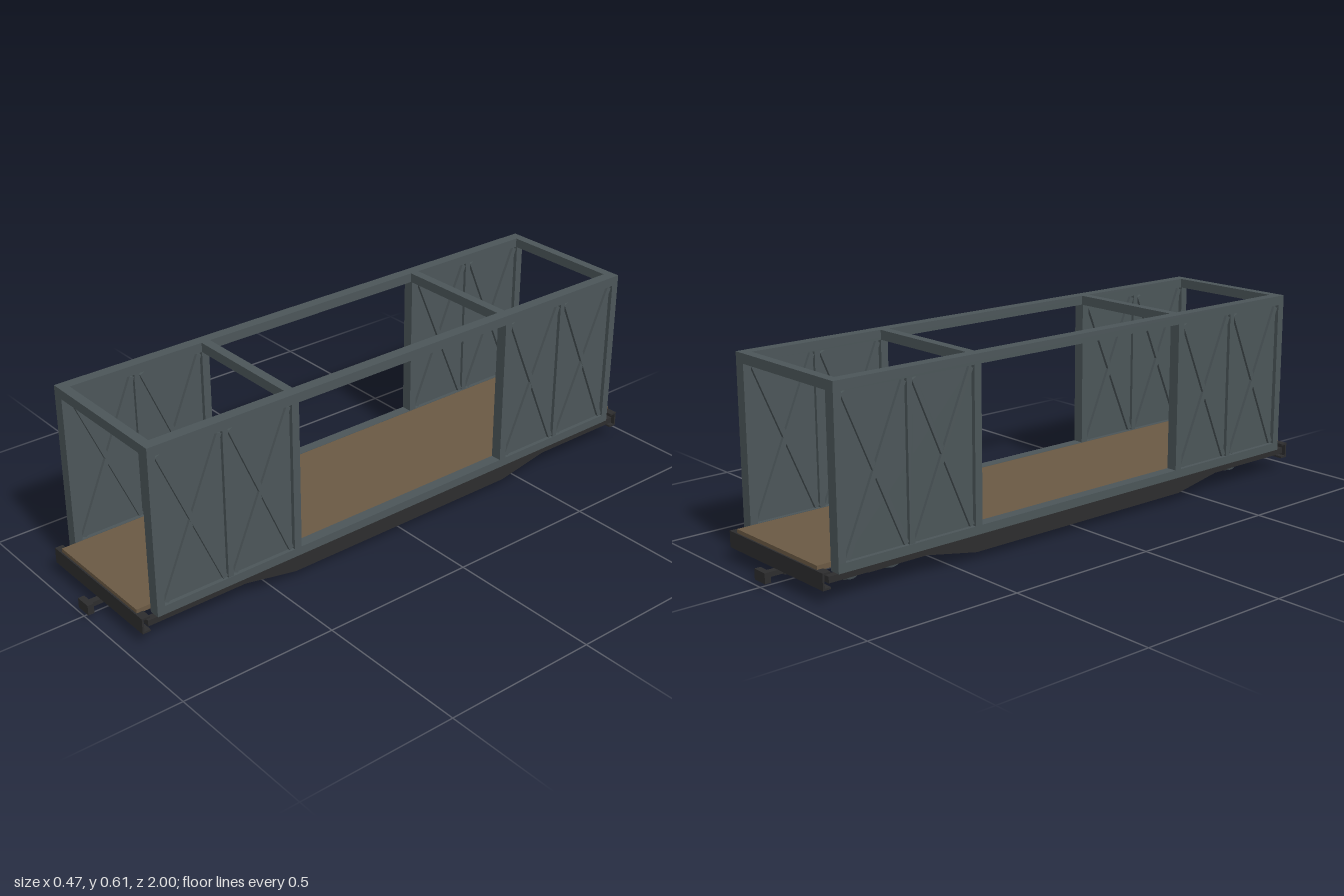
import * as THREE from 'three';
import { toCreasedNormals } from 'three/addons/utils/BufferGeometryUtils.js';

const mat = (name, color) => {
  const m = new THREE.MeshStandardMaterial({ color });
  m.name = name;
  return m;
};

export function createModel() {
  const steel = mat('wall grey', 0x4c5659);
  const iron = mat('underframe black', 0x2d2d2e);
  const wood = mat('deck brown', 0x6b5a44);
  const wheelSteel = mat('wheel grey', 0x3e474b);

  const root = new THREE.Group();
  root.name = 'openFreightWagon';
  const group = (name, parent = root) => {
    const g = new THREE.Group();
    g.name = name;
    parent.add(g);
    return g;
  };
  const add = (parent, name, geo, material) => {
    const m = new THREE.Mesh(geo, material);
    m.name = name;
    parent.add(m);
    return m;
  };
  // Box from two opposite corners, given in any order
  const box = (parent, name, material, x0, x1, y0, y1, z0, z1) => {
    const m = add(parent, name, new THREE.BoxGeometry(Math.abs(x1 - x0), Math.abs(y1 - y0), Math.abs(z1 - z0)), material);
    m.position.set((x0 + x1) / 2, (y0 + y1) / 2, (z0 + z1) / 2);
    return m;
  };
  // Side profile in (z, y), extruded across x about a centre
  const sideExtrude = (shape, cx, width) => {
    const g = new THREE.ExtrudeGeometry(shape, { depth: width, bevelEnabled: false, curveSegments: 6 });
    g.rotateY(-Math.PI / 2);
    g.translate(cx + width / 2, 0, 0);
    return g;
  };
  const shapeOf = (pts) => new THREE.Shape(pts.map(([a, b]) => new THREE.Vector2(a, b)));

  // Deck
  box(root, 'deck', wood, -0.2, 0.2, 0.09, 0.105, -0.945, 0.945);

  // Open body: rails, posts, braced panels
  const body = group('body');
  const bay = (parent, s, za, zb) => {
    const ya = 0.105, yb = 0.58, dz = zb - za, dy = yb - ya;
    const length = Math.hypot(dz, dy) - 0.018;
    for (const d of [-1, 1]) {
      const brace = box(parent, 'diagonalBrace', steel, s * 0.203, s * (0.232 + d * 0.0005), 0, length, -0.008, 0.008);
      brace.position.y = (ya + yb) / 2;
      brace.position.z = (za + zb) / 2;
      brace.rotation.x = d * Math.atan2(Math.abs(dz) - 0.012, dy);
    }
  };
  for (const s of [-1, 1]) {
    const side = group(s > 0 ? 'leftSide' : 'rightSide', body);
    box(side, 'topRail', steel, s * 0.2, s * 0.236, 0.58, 0.61, -0.9, 0.9);
    box(side, 'bottomRail', steel, s * 0.2, s * 0.236, 0.079, 0.106, -0.9, 0.9);
    for (const e of [-1, 1]) {
      box(side, 'endPost', steel, s * 0.2, s * 0.236, 0.106, 0.58, e * 0.875, e * 0.9);
      box(side, 'doorPost', steel, s * 0.2, s * 0.236, 0.106, 0.58, e * 0.4, e * 0.425);
      box(side, 'middlePost', steel, s * 0.203, s * 0.234, 0.106, 0.58, e * 0.641, e * 0.659);
      box(side, 'wallPanel', steel, s * 0.213, s * 0.223, 0.106, 0.58, e * 0.425, e * 0.875);
      bay(side, s, e * 0.425, e * 0.641);
      bay(side, s, e * 0.659, e * 0.875);
    }
  }
  for (const e of [-1, 1]) {
    box(body, 'endCrossbar', steel, -0.2, 0.2, 0.58, 0.61, e * 0.87, e * 0.9);
    box(body, 'doorCrossbar', steel, -0.2, 0.2, 0.58, 0.61, e * 0.395, e * 0.425);
  }

  // Underframe: deep-bellied side sills, centre sill, channel end beams
  const frame = group('underframe');
  const sill = shapeOf([[-0.93, 0.06], [-0.6, 0.06], [-0.42, 0.026], [0.42, 0.026],
    [0.6, 0.06], [0.93, 0.06], [0.93, 0.079], [-0.93, 0.079]]);
  for (const s of [-1, 1]) add(frame, 'sideSill', sideExtrude(sill, s * 0.221, 0.022), iron);
  box(frame, 'centreSill', iron, -0.03, 0.03, 0.045, 0.09, -0.93, 0.93);
  for (const e of [-1, 1]) {
    box(frame, 'endBeamWeb', iron, -0.233, 0.233, 0.043, 0.093, e * 0.944, e * 0.95);
    box(frame, 'endBeamLowerFlange', iron, -0.233, 0.233, 0.043, 0.049, e * 0.924, e * 0.944);
    for (const s of [-1, 1])
      box(frame, 'endBeamUpperFlange', iron, s * 0.2, s * 0.233, 0.087, 0.093, e * 0.924, e * 0.944);
    box(frame, 'bodyBolster', iron, -0.21, 0.21, 0.066, 0.089, e * 0.69, e * 0.74);
    // Coupler
    const coupler = group(e > 0 ? 'frontCoupler' : 'rearCoupler');
    box(coupler, 'pocket', iron, -0.016, 0.016, 0.024, 0.05, e * 0.9, e * 0.93);
    box(coupler, 'shank', iron, -0.01, 0.01, 0.026, 0.041, e * 0.93, e * 0.982);
    box(coupler, 'head', iron, -0.026, 0.026, 0.016, 0.048, e * 0.98, e * 1.0);
  }

  // Trucks: wheels, axles and pierced side frames
  const wheelProfile = [[0, -0.012], [0.041, -0.012], [0.041, -0.009], [0.035, -0.006], [0.034, 0.011],
    [0.028, 0.011], [0.025, 0.004], [0.013, 0.003], [0.01, 0.011], [0, 0.011]].map(([r, h]) => new THREE.Vector2(r, h));
  const wheelGeo = toCreasedNormals(new THREE.LatheGeometry(wheelProfile, 28), 0.5);
  const axleGeo = new THREE.CylinderGeometry(0.006, 0.006, 0.285, 12).rotateZ(Math.PI / 2);
  const journalGeo = new THREE.CylinderGeometry(0.013, 0.013, 0.02, 16).rotateZ(Math.PI / 2);

  const sideFrame = shapeOf([[-0.092, 0.032], [-0.055, 0.032], [-0.03, 0.021], [0.03, 0.021], [0.055, 0.032],
    [0.092, 0.032], [0.092, 0.05], [0.06, 0.062], [-0.06, 0.062], [-0.092, 0.05]]);
  for (const d of [-1, 1])
    sideFrame.holes.push(new THREE.Path([[0.022, 0.03], [0.034, 0.03], [0.052, 0.04], [0.05, 0.054], [0.022, 0.054]]
      .map(([a, b]) => new THREE.Vector2(d * a, b))));

  for (const e of [-1, 1]) {
    const truck = group(e > 0 ? 'frontTruck' : 'rearTruck');
    truck.position.z = e * 0.714;
    box(truck, 'truckBolster', iron, -0.152, 0.152, 0.04, 0.066, -0.02, 0.02);
    for (const s of [-1, 1]) {
      add(truck, 'sideFrame', sideExtrude(sideFrame, s * 0.143, 0.014), iron);
      box(truck, 'springSeat', iron, s * 0.134, s * 0.157, 0.025, 0.031, -0.024, 0.024);
    }
    for (const dz of [-0.071, 0.071]) {
      add(truck, 'axle', axleGeo, iron).position.set(0, 0.041, dz);
      for (const s of [-1, 1]) {
        const wheel = add(truck, 'wheel', wheelGeo, wheelSteel);
        wheel.position.set(s * 0.119, 0.041, dz);
        wheel.rotation.z = -s * Math.PI / 2;
        add(truck, 'journalBox', journalGeo, iron).position.set(s * 0.147, 0.041, dz);
      }
    }
  }
  return root;
}
